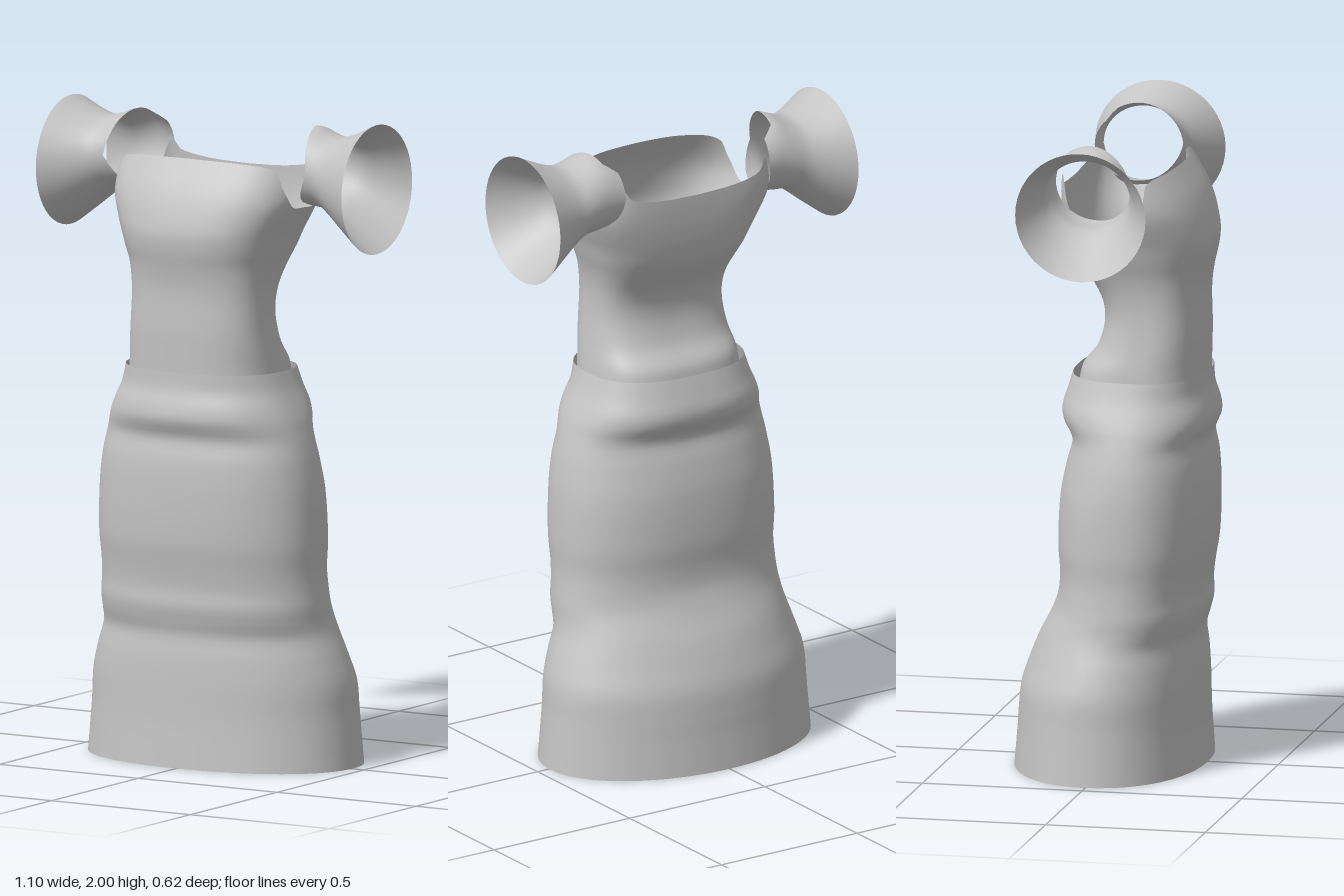
import * as THREE from 'three';

const cloth = new THREE.MeshStandardMaterial({ color: 0xc4c4c4, side: THREE.DoubleSide });
cloth.name = 'greyCloth';

// Smooth (or straight) interpolation through rows [key, a, b, ...]
function sample(rows, k, smooth = true) {
  const n = rows.length - 1;
  k = Math.min(Math.max(k, rows[0][0]), rows[n][0]);
  let i = 0;
  while (i < n - 1 && k > rows[i + 1][0]) i++;
  const p = rows[i], q = rows[i + 1], h = q[0] - p[0], t = (k - p[0]) / h;
  const slope = (j, c) => {
    const a = rows[Math.max(j - 1, 0)], b = rows[Math.min(j + 1, n)];
    return (b[c] - a[c]) / (b[0] - a[0]);
  };
  return p.slice(1).map((v, j) => {
    const c = j + 1;
    if (!smooth) return v + (q[c] - v) * t;
    const t2 = t * t, t3 = t2 * t;
    return v * (2 * t3 - 3 * t2 + 1) + q[c] * (3 * t2 - 2 * t3)
      + h * (slope(i, c) * (t3 - 2 * t2 + t) + slope(i + 1, c) * (t3 - t2));
  });
}

// Open tube of cloth: fn(u, v) gives a point, u wraps around, v runs along
function sheet(name, fn, nu, nv) {
  const pos = [], index = [];
  for (let j = 0; j <= nv; j++)
    for (let i = 0; i < nu; i++) pos.push(...fn(i / nu, j / nv));
  for (let j = 0; j < nv; j++)
    for (let i = 0; i < nu; i++) {
      const a = j * nu + i, b = j * nu + (i + 1) % nu;
      index.push(a, b, b + nu, a, b + nu, a + nu);
    }
  const geo = new THREE.BufferGeometry();
  geo.setAttribute('position', new THREE.Float32BufferAttribute(pos, 3));
  geo.setIndex(index);
  geo.computeVertexNormals();
  const mesh = new THREE.Mesh(geo, cloth);
  mesh.name = name;
  return mesh;
}

// Body cross-section point; t = 0 is the front, going round past the left side
function bodyPoint(rows, t, y) {
  const [w, zf, zb, nf, nb] = sample(rows, y);
  const s = Math.sin(t), c = Math.cos(t), e = 2 / (c > 0 ? nf : nb);
  const pw = (v) => Math.sign(v) * Math.abs(v) ** e;
  return [w * pw(s), y, (zf + zb) / 2 + (zf - zb) / 2 * pw(c)];
}

// [y, half width, front z, back z, front squareness, back squareness]
const skirtRows = [
  [0, 0.457, 0.28, -0.308, 2.2, 2],
  [0.12, 0.447, 0.272, -0.298, 2.2, 2],
  [0.17, 0.443, 0.27, -0.295, 2.2, 2],
  [0.26, 0.437, 0.268, -0.285, 2.2, 2],
  [0.34, 0.415, 0.264, -0.258, 2.2, 2],
  [0.41, 0.39, 0.258, -0.228, 2.2, 2.1],
  [0.45, 0.381, 0.268, -0.206, 2.3, 2.2],
  [0.5, 0.378, 0.279, -0.182, 2.3, 2.2],
  [0.55, 0.373, 0.277, -0.165, 2.3, 2.3],
  [0.61, 0.37, 0.284, -0.161, 2.3, 2.3],
  [0.7, 0.374, 0.298, -0.167, 2.3, 2.3],
  [0.85, 0.368, 0.302, -0.16, 2.3, 2.3],
  [0.95, 0.354, 0.297, -0.141, 2.3, 2.3],
  [1.02, 0.337, 0.285, -0.122, 2.3, 2.4],
  [1.05, 0.328, 0.297, -0.132, 2.3, 2.4],
  [1.08, 0.319, 0.309, -0.152, 2.3, 2.4],
  [1.12, 0.302, 0.304, -0.157, 2.4, 2.5],
  [1.17, 0.28, 0.289, -0.143, 2.4, 2.5],
  [1.225, 0.262, 0.285, -0.125, 2.5, 2.6],
];
const bodiceRows = [
  [1.2, 0.247, 0.277, -0.105, 2.6, 2.8],
  [1.25, 0.242, 0.278, -0.092, 2.6, 2.8],
  [1.3, 0.235, 0.279, -0.052, 2.6, 2.8],
  [1.35, 0.229, 0.28, -0.032, 2.6, 2.8],
  [1.4, 0.225, 0.279, -0.024, 2.6, 2.8],
  [1.45, 0.224, 0.278, -0.029, 2.6, 2.9],
  [1.5, 0.228, 0.281, -0.05, 2.6, 3],
  [1.55, 0.239, 0.29, -0.083, 2.5, 3.1],
  [1.6, 0.256, 0.301, -0.11, 2.5, 3.3],
  [1.65, 0.272, 0.305, -0.124, 2.5, 3.6],
  [1.7, 0.293, 0.295, -0.131, 2.5, 4],
  [1.75, 0.31, 0.279, -0.135, 2.5, 4.5],
  [1.8, 0.312, 0.256, -0.136, 2.5, 5],
  [1.88, 0.305, 0.207, -0.134, 2.5, 5],
];
// Top edge of the bodice: [degrees from the front, height], dips at the armholes
const neckline = [[0, 1.877], [30, 1.872], [60, 1.85], [72, 1.79], [90, 1.73],
  [118, 1.75], [135, 1.87], [150, 1.84], [180, 1.815]];

// Sleeve rings: [x, centre y, radius y, centre z, radius z]
const sleeveRows = [
  [0.26, 1.852, 0.105, -0.01, 0.125],
  [0.32, 1.854, 0.122, -0.01, 0.125],
  [0.38, 1.84, 0.116, -0.008, 0.13],
  [0.42, 1.824, 0.126, -0.004, 0.138],
  [0.48, 1.81, 0.158, 0.001, 0.166],
  [0.55, 1.8, 0.2, 0.006, 0.204],
];
// Inner edge of a sleeve: [degrees from the top toward the front, x]
const sleeveEdge = [[0, 0.32], [45, 0.345], [90, 0.365], [135, 0.32], [180, 0.29],
  [225, 0.28], [270, 0.265], [318, 0.27], [326, 0.31], [360, 0.32]];

export function createModel() {
  const dress = new THREE.Group();
  dress.name = 'dress';

  dress.add(sheet('skirt', (u, v) => bodyPoint(skirtRows, u * Math.PI * 2, v * 1.225), 96, 80));

  dress.add(sheet('bodice', (u, v) => {
    const deg = u * 360;
    const [top] = sample(neckline, deg > 180 ? 360 - deg : deg);
    return bodyPoint(bodiceRows, u * Math.PI * 2, 1.2 + v * (top - 1.2));
  }, 128, 48));

  // Flared off-shoulder sleeves
  for (const side of [1, -1]) {
    dress.add(sheet(side > 0 ? 'leftSleeve' : 'rightSleeve', (u, v) => {
      const a = side > 0 ? u : (1 - u) % 1;
      const [inner] = sample(sleeveEdge, a * 360, false);
      const x = inner + v * (0.55 - inner);
      const [cy, ry, cz, rz] = sample(sleeveRows, x);
      const t = a * Math.PI * 2;
      return [side * x, cy + ry * Math.cos(t), cz + rz * Math.sin(t)];
    }, 48, 16));
  }
  return dress;
}
